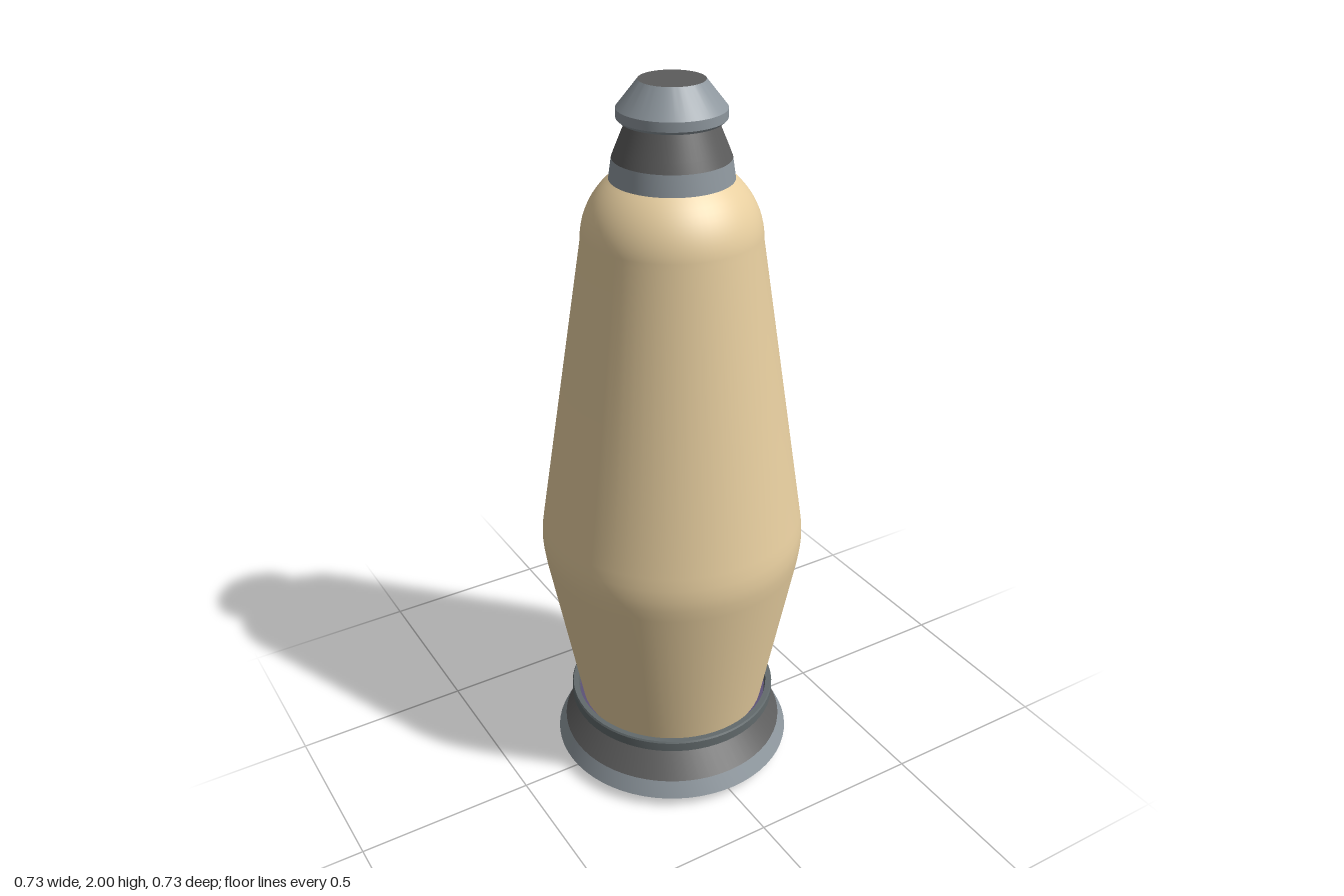
import * as THREE from 'three';
import { toCreasedNormals } from 'three/addons/utils/BufferGeometryUtils.js';

const TAN = 0xe8cfa0, STEEL = 0x8e979e, DARK = 0x5c5c5c, RING = 0x626a6c, VIOLET = 0x5d5278;

export function createModel() {
  const model = new THREE.Group();

  // Revolve a bottom-to-top profile of [radius, height] points about the y axis
  function turned(name, color, profile, crease = 0.5) {
    const points = profile.map(([r, y]) => new THREE.Vector2(r, y));
    const geometry = toCreasedNormals(new THREE.LatheGeometry(points, 64), crease);
    const material = new THREE.MeshStandardMaterial({ color, side: THREE.DoubleSide });
    const mesh = new THREE.Mesh(geometry, material);
    mesh.name = name;
    model.add(mesh);
  }

  // Points on a quarter ellipse between two angles
  function arc(cy, rx, ry, from, to, steps) {
    return Array.from({ length: steps + 1 }, (_, i) => {
      const a = from + (to - from) * i / steps;
      return [Math.max(0, rx * Math.cos(a)), cy + ry * Math.sin(a)];
    });
  }

  // Tapered body, softly rounded at its widest point, domed shoulder
  turned('body', TAN, [
    [0.268, 0.18], [0.358, 0.665], [0.363, 0.7], [0.365, 0.73], [0.363, 0.765], [0.358, 0.8],
    ...arc(1.6, 0.233, 0.214, 0, 0.86, 10),
  ]);

  // Flared hollow base with a steel lip
  turned('baseFlare', DARK, [[0.323, 0.075], [0.258, 0.155]]);
  turned('baseLip', STEEL, [[0.338, 0.03], [0.345, 0.03], [0.323, 0.075]]);

  // Collar around the foot of the body
  turned('collar', RING, [
    [0.25, 0.155], [0.275, 0.155], [0.3, 0.168], [0.3, 0.195], [0.297, 0.2], [0.282, 0.2], [0.278, 0.182],
  ]);

  // Underside plate and the rounded tip hanging below it
  turned('bottomPlate', VIOLET, [[0, 0.18], [0.278, 0.18]]);
  turned('bottomTip', TAN, arc(0.18, 0.146, 0.18, -Math.PI / 2, 0, 16));

  // Neck and cap
  turned('neckBand', STEEL, [[0.14, 1.757], [0.158, 1.757], [0.15, 1.81], [0.145, 1.81]]);
  turned('neck', DARK, [[0.15, 1.81], [0.14, 1.835], [0.113, 1.9]], 0.3);
  turned('cap', STEEL, [[0.1, 1.9], [0.128, 1.9], [0.137, 1.908], [0.137, 1.932], [0.083, 2]]);
  turned('capTop', DARK, [[0.083, 2], [0, 2]]);

  return model;
}
